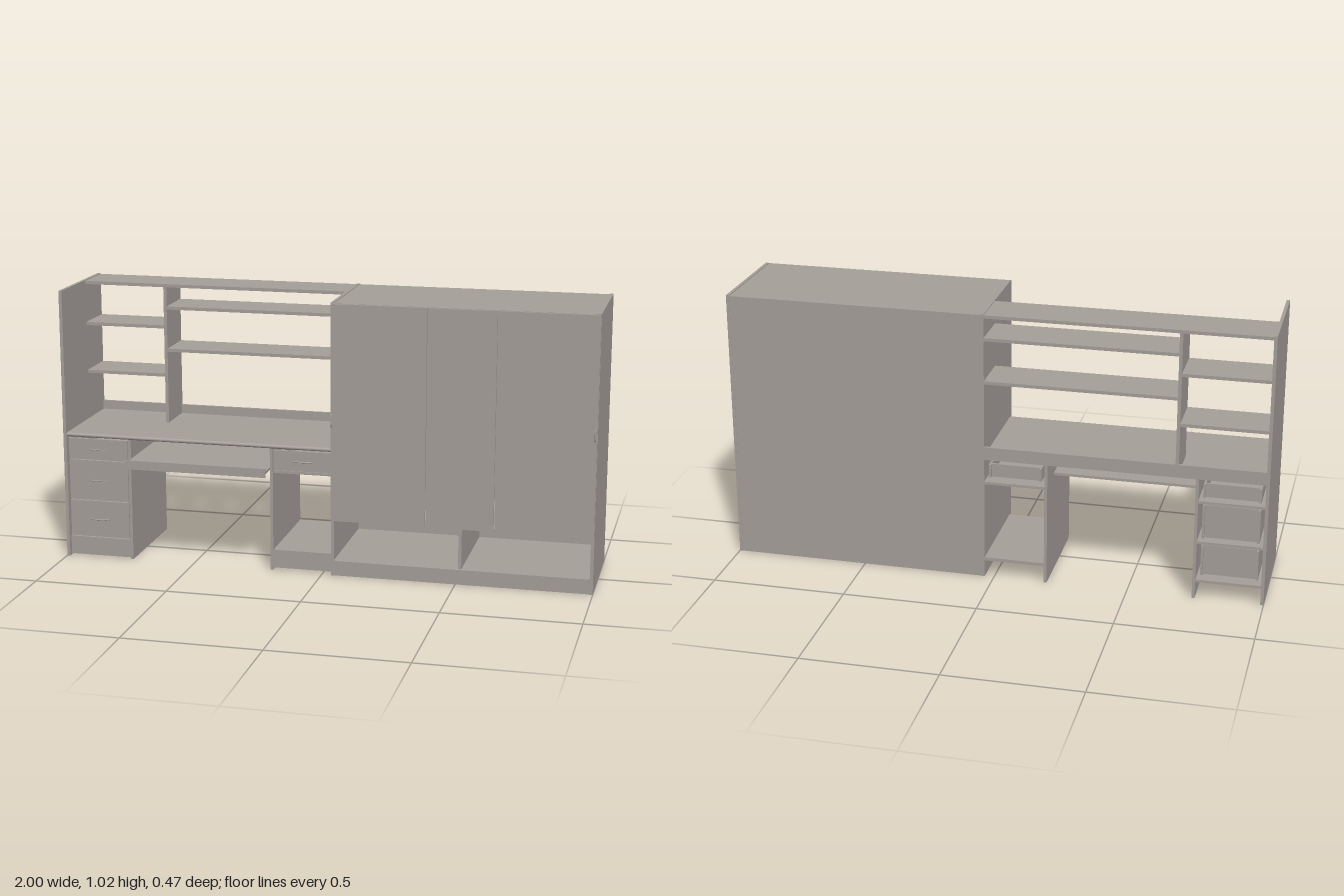
import * as THREE from 'three';

export function createModel() {
  const root = new THREE.Group();
  root.name = 'wallUnit';
  const board = new THREE.MeshStandardMaterial({ color: 0xa69f9a });
  board.name = 'greige board';

  function group(name, parent = root) {
    const g = new THREE.Group();
    g.name = name;
    parent.add(g);
    return g;
  }

  // Board given by its extents on each axis
  function panel(parent, name, [x0, x1], [y0, y1], [z0, z1]) {
    const m = new THREE.Mesh(new THREE.BoxGeometry(x1 - x0, y1 - y0, z1 - z0), board);
    m.position.set((x0 + x1) / 2, (y0 + y1) / 2, (z0 + z1) / 2);
    m.name = name;
    parent.add(m);
    return m;
  }

  // Bow handle, upright or lying
  function handle(parent, x, y, z, length, depth, upright) {
    const h = length / 2;
    const pts = [[-h, 0], [-h * 0.9, depth * 0.65], [-h * 0.55, depth], [0, depth], [h * 0.55, depth], [h * 0.9, depth * 0.65], [h, 0]]
      .map(([a, d]) => new THREE.Vector3(upright ? 0 : a, upright ? a : 0, d));
    const m = new THREE.Mesh(new THREE.TubeGeometry(new THREE.CatmullRomCurve3(pts), 24, 0.0025, 8), board);
    m.position.set(x, y, z);
    m.name = 'handle';
    parent.add(m);
  }

  // Drawer: front, open tray behind it and a handle
  function drawer(parent, [x0, x1], [y0, y1]) {
    const g = group('drawer', parent);
    const a = x0 + 0.012, b = x1 - 0.012, lo = y0 + 0.01, hi = y1 - 0.015;
    panel(g, 'drawerFront', [x0, x1], [y0, y1], [0.155, 0.166]);
    panel(g, 'drawerBottom', [a, b], [lo, lo + 0.006], [-0.21, 0.155]);
    panel(g, 'drawerBack', [a, b], [lo, hi], [-0.21, -0.202]);
    panel(g, 'drawerSide', [a, a + 0.008], [lo, hi], [-0.222, 0.155]);
    panel(g, 'drawerSide', [b - 0.008, b], [lo, hi], [-0.222, 0.155]);
    handle(g, (x0 + x1) / 2, (y0 + y1) / 2, 0.166, 0.072, 0.011, false);
  }

  const back = -0.235;

  // Wardrobe carcass
  const wardrobe = group('wardrobe');
  const depth = [back, 0.185], inner = [0.047, 0.988];
  panel(wardrobe, 'rightSide', [0.035, 0.047], [0, 1.023], depth);
  panel(wardrobe, 'leftSide', [0.988, 1], [0, 1.023], depth);
  panel(wardrobe, 'top', inner, [1.008, 1.02], depth);
  panel(wardrobe, 'back', inner, [0, 1.015], [back + 0.001, back + 0.009]);
  panel(wardrobe, 'cabinetFloor', inner, [0.21, 0.222], [-0.226, 0.184]);
  panel(wardrobe, 'openShelfFloor', inner, [0.048, 0.06], [-0.226, 0.184]);
  panel(wardrobe, 'shelfLip', [0.05, 0.985], [0.046, 0.06], [0.184, 0.195]);
  panel(wardrobe, 'openShelfDivider', [0.51, 0.522], [0.06, 0.21], [-0.226, 0.184]);
  panel(wardrobe, 'baseDivider', [0.51, 0.522], [0, 0.048], [-0.226, 0.17]);
  panel(wardrobe, 'plinth', inner, [0, 0.048], [0.17, 0.182]);

  // Doors with hinge caps and handles
  for (const [x0, x1] of [[0.036, 0.387], [0.391, 0.638], [0.642, 0.999]])
    panel(wardrobe, 'door', [x0, x1], [0.215, 1.019], [0.1855, 0.195]);
  for (const x of [0.4, 0.628]) {
    for (const y of [0.283, 0.492, 0.723, 0.958]) {
      const cap = new THREE.Mesh(new THREE.CylinderGeometry(0.005, 0.005, 0.003, 12), board);
      cap.rotation.x = Math.PI / 2;
      cap.position.set(x, y, 0.1955);
      cap.name = 'hingeCap';
      wardrobe.add(cap);
    }
  }
  for (const x of [0.041, 0.993]) handle(wardrobe, x, 0.592, 0.194, 0.047, 0.012, true);

  // Open shelving above the desk
  const shelving = group('shelving');
  const shelfZ = [back, -0.065];
  panel(shelving, 'tallEndPanel', [-1, -0.988], [0, 1.023], [back, 0.183]);
  panel(shelving, 'topShelf', [-0.988, 0.035], [1.008, 1.02], shelfZ);
  panel(shelving, 'divider', [-0.676, -0.664], [0.48, 1.008], shelfZ);
  for (const y of [0.668, 0.855])
    panel(shelving, 'narrowShelf', [-0.988, -0.676], [y - 0.006, y + 0.006], shelfZ);
  for (const y of [0.766, 0.929])
    panel(shelving, 'wideShelf', [-0.664, 0.035], [y - 0.006, y + 0.006], shelfZ);

  // Desktop with a rounded front edge
  const desk = group('desk');
  panel(desk, 'desktop', [-0.988, 0.035], [0.468, 0.483], [back, 0.1715]);
  const nose = new THREE.Mesh(new THREE.CylinderGeometry(0.0075, 0.0075, 1.023, 16, 1, false, 0, Math.PI * 2), board);
  nose.rotation.z = Math.PI / 2;
  nose.position.set(-0.4765, 0.4755, 0.1715);
  nose.name = 'roundedEdge';
  desk.add(nose);
  panel(desk, 'backUpstand', [-0.988, 0.035], [0.483, 0.517], [back, back + 0.01]);

  // Pull-out keyboard tray
  panel(desk, 'keyboardTray', [-0.738, -0.2], [0.384, 0.394], [-0.12, 0.229]);
  panel(desk, 'trayFront', [-0.738, -0.2], [0.371, 0.405], [0.229, 0.235]);

  // Drawer pedestal
  const pedestal = group('drawerPedestal');
  const pedX = [-0.988, -0.75];
  panel(pedestal, 'innerSide', [-0.75, -0.739], [0, 0.468], [back, 0.168]);
  panel(pedestal, 'floor', pedX, [0.065, 0.075], [back, 0.154]);
  panel(pedestal, 'plinth', pedX, [0.005, 0.075], [0.154, 0.165]);
  for (const y of [0.222, 0.38])
    panel(pedestal, 'rail', pedX, [y - 0.005, y + 0.005], [back, 0.154]);
  for (const span of [[0.079, 0.219], [0.225, 0.377], [0.383, 0.46]])
    drawer(pedestal, [-0.985, -0.753], span);

  // Open pedestal beside the wardrobe
  const cubby = group('openPedestal');
  const cubX = [-0.189, 0.035];
  panel(cubby, 'innerSide', [-0.2, -0.189], [0, 0.468], [back, 0.168]);
  panel(cubby, 'floor', cubX, [0.065, 0.077], [back, 0.154]);
  panel(cubby, 'plinth', cubX, [0.008, 0.077], [0.154, 0.165]);
  panel(cubby, 'drawerShelf', cubX, [0.372, 0.382], [back, 0.16]);
  drawer(cubby, [-0.187, 0.033], [0.385, 0.46]);

  return root;
}
